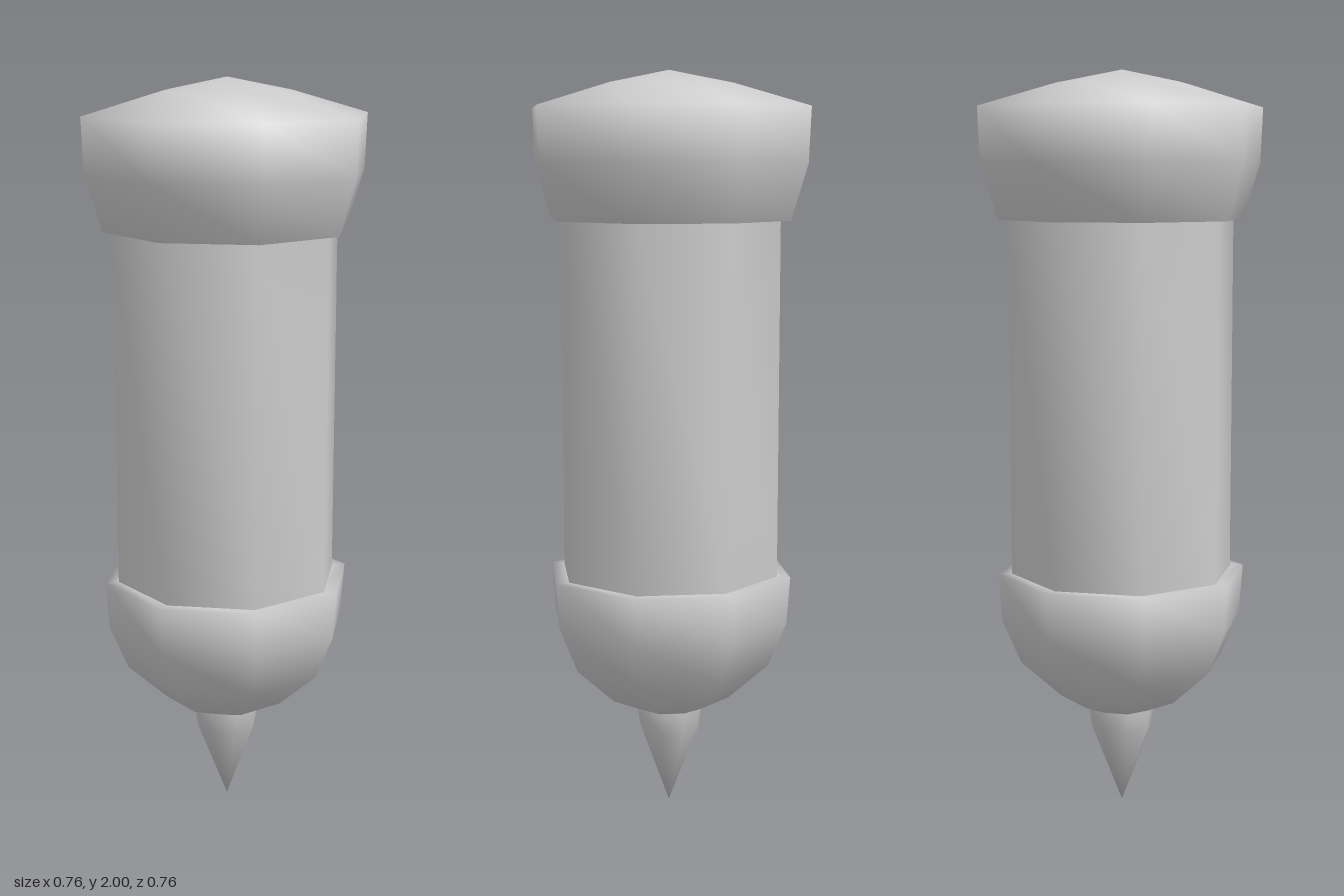
import * as THREE from 'three';
import { mergeVertices } from 'three/addons/utils/BufferGeometryUtils.js';

const SIDES = 8;

// Eight-sided turned part, welded so the shading runs smoothly over its edges.
// The profile runs from bottom to top as [radius, height].
function turned(name, profile, material) {
  const lathe = new THREE.LatheGeometry(profile.map(([r, y]) => new THREE.Vector2(r, y)), SIDES);
  lathe.deleteAttribute('normal');
  lathe.deleteAttribute('uv');
  const geometry = mergeVertices(lathe);
  geometry.computeVertexNormals();
  const mesh = new THREE.Mesh(geometry, material);
  mesh.name = name;
  return mesh;
}

export function createModel() {
  const grey = new THREE.MeshStandardMaterial({ color: 0xcccccc });
  grey.name = 'light grey';

  const model = new THREE.Group();
  model.name = 'column';
  model.add(
    // pointed tip hanging under the cup
    turned('tip', [[0, 0], [0.085, 0.22], [0.092, 0.275]], grey),
    // rounded cup with a narrow ledge around the shaft
    turned('cup', [[0, 0.27], [0.09, 0.275], [0.17, 0.31], [0.28, 0.41], [0.33, 0.53], [0.34, 0.66], [0.29, 0.66]], grey),
    // straight shaft
    turned('shaft', [[0.303, 0.66], [0.303, 1.612]], grey),
    // flared cap with a shallow dome
    turned('cap', [[0.29, 1.612], [0.33, 1.612], [0.375, 1.76], [0.381, 1.905], [0.175, 1.965], [0, 2]], grey),
  );
  return model;
}
